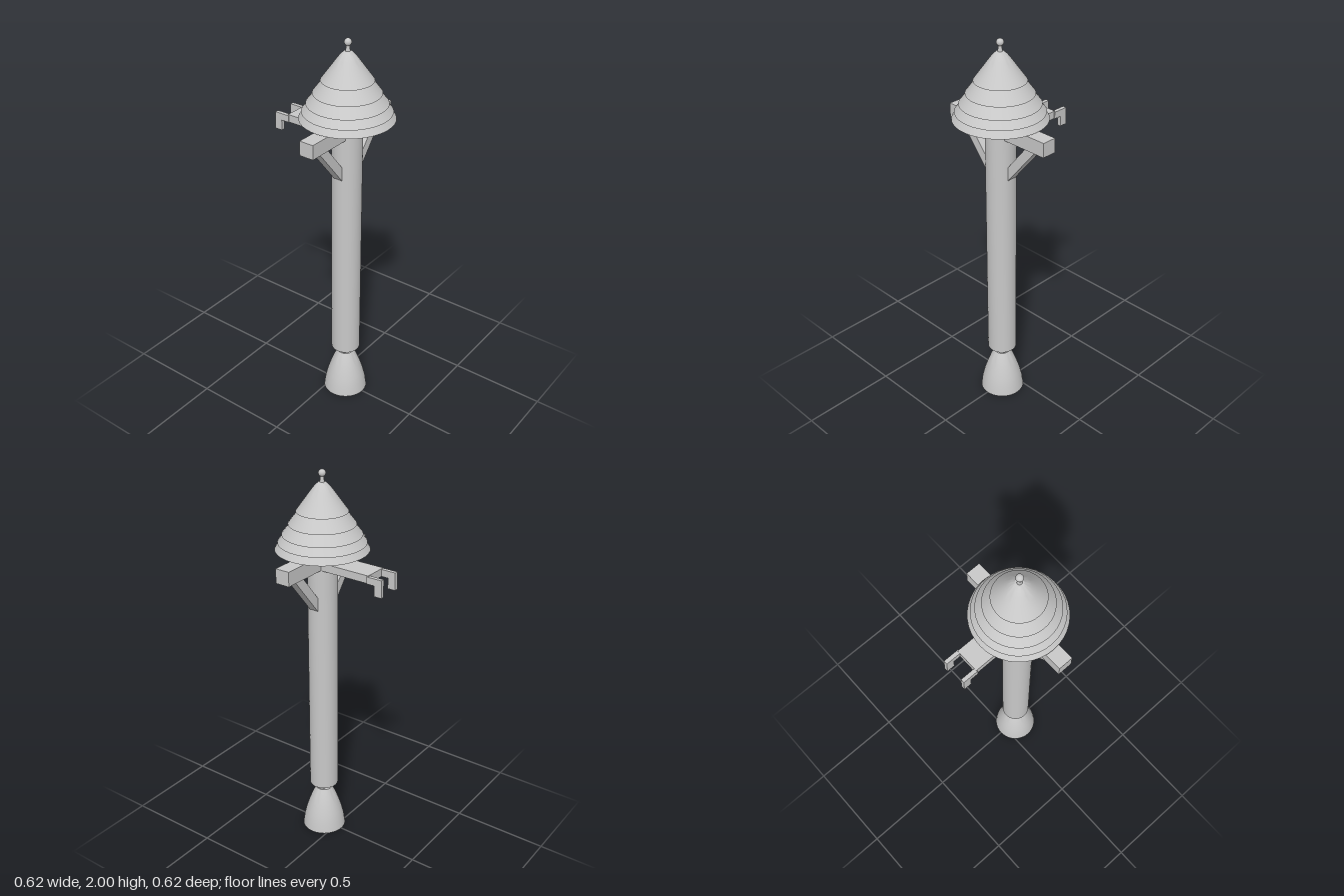
import * as THREE from 'three';
import { toCreasedNormals } from 'three/addons/utils/BufferGeometryUtils.js';

export function createModel() {
  const model = new THREE.Group();
  const grey = new THREE.MeshStandardMaterial({ color: 0xc8c8c8 });
  grey.name = 'light grey';
  const AXIS_Z = 0.077; // the column stands forward of centre

  const add = (name, geometry, x = 0, y = 0, z = 0) => {
    const mesh = new THREE.Mesh(geometry, grey);
    mesh.name = name;
    mesh.position.set(x, y, z);
    model.add(mesh);
    return mesh;
  };
  // Solid of revolution around the column axis, profile as [radius, height]
  const turn = (name, profile, sides = 40) => {
    const points = profile.map(([r, y]) => new THREE.Vector2(r, y));
    return add(name, toCreasedNormals(new THREE.LatheGeometry(points, sides), 0.5), 0, 0, AXIS_Z);
  };
  // Box given by its lower and upper corners
  const block = (name, a, b) => add(name,
    new THREE.BoxGeometry(b[0] - a[0], b[1] - a[1], b[2] - a[2]),
    (a[0] + b[0]) / 2, (a[1] + b[1]) / 2, (a[2] + b[2]) / 2);

  // Hollow bell nozzle
  turn('nozzle', [
    [0, 0.215], [0.03, 0.215], [0.058, 0.16], [0.082, 0.09], [0.1, 0],
    [0.115, 0], [0.108, 0.05], [0.096, 0.1], [0.08, 0.15], [0.061, 0.2], [0.042, 0.238], [0, 0.238],
  ]);

  // Pivot between nozzle and column
  block('pivotPlate', [-0.045, 0.262, AXIS_Z - 0.02], [0.045, 0.275, AXIS_Z + 0.02]);
  block('pivotCore', [-0.016, 0.23, AXIS_Z - 0.02], [0.016, 0.275, AXIS_Z + 0.02]);
  for (const s of [-1, 1]) {
    block('pivotLug', [s * 0.029 - 0.008, 0.23, AXIS_Z - 0.02], [s * 0.029 + 0.008, 0.275, AXIS_Z + 0.02]);
  }

  // Column and the collar under the roof
  turn('column', [[0, 0.272], [0.075, 0.272], [0.075, 1.6], [0, 1.6]]);
  turn('collar', [[0, 1.592], [0.092, 1.592], [0.1, 1.6], [0.1, 1.615], [0, 1.615]]);

  // Stepped conical roof: each tier overhangs into the one below
  const tiers = [
    [0.23, 1.612, 0.205, 1.65], [0.216, 1.647, 0.182, 1.69],
    [0.195, 1.687, 0.152, 1.741], [0.164, 1.738, 0.114, 1.804],
  ];
  for (const [r0, y0, r1, y1] of tiers) {
    turn('roofTier', [[0, y0], [r0, y0], [r1, y1], [0, y1]]);
  }
  turn('roofTip', [
    [0, 1.8], [0.126, 1.8], [0.075, 1.87], [0.053, 1.901], [0.035, 1.924], [0.02, 1.938], [0, 1.942],
  ]);

  // Finial
  turn('finialStem', [[0, 1.93], [0.014, 1.93], [0.009, 1.955], [0.009, 1.975], [0, 1.975]], 16);
  add('finialBall', new THREE.SphereGeometry(0.018, 20, 14), 0, 1.982, AXIS_Z);

  // Crossbar with a diagonal brace on each side
  block('crossbar', [-0.31, 1.527, AXIS_Z - 0.038], [0.31, 1.6, AXIS_Z + 0.038]);
  for (const s of [-1, 1]) {
    const corners = [[0.25, 1.53], [0.19, 1.53], [0.065, 1.375], [0.065, 1.312], [0.072, 1.312]];
    const shape = new THREE.Shape(corners.map(([x, y]) => new THREE.Vector2(s * x, y)));
    add('brace', new THREE.ExtrudeGeometry(shape, { depth: 0.048, bevelEnabled: false }), 0, 0, AXIS_Z - 0.024);
  }

  // Rear plate carrying two hooked prongs
  block('rearPlate', [-0.063, 1.526, -0.231], [0.063, 1.565, 0.04]);
  const hook = new THREE.Shape([
    [0.225, 1.526], [0.268, 1.526], [0.268, 1.473], [0.309, 1.473], [0.307, 1.561], [0.225, 1.561],
  ].map(([x, y]) => new THREE.Vector2(x, y)));
  for (const s of [-1, 1]) {
    const geometry = new THREE.ExtrudeGeometry(hook, { depth: 0.02, bevelEnabled: false });
    geometry.rotateY(Math.PI / 2); // outline now runs towards -z, thickness along +x
    add('hookedProng', geometry, s * 0.058 - 0.01);
  }

  return model;
}
